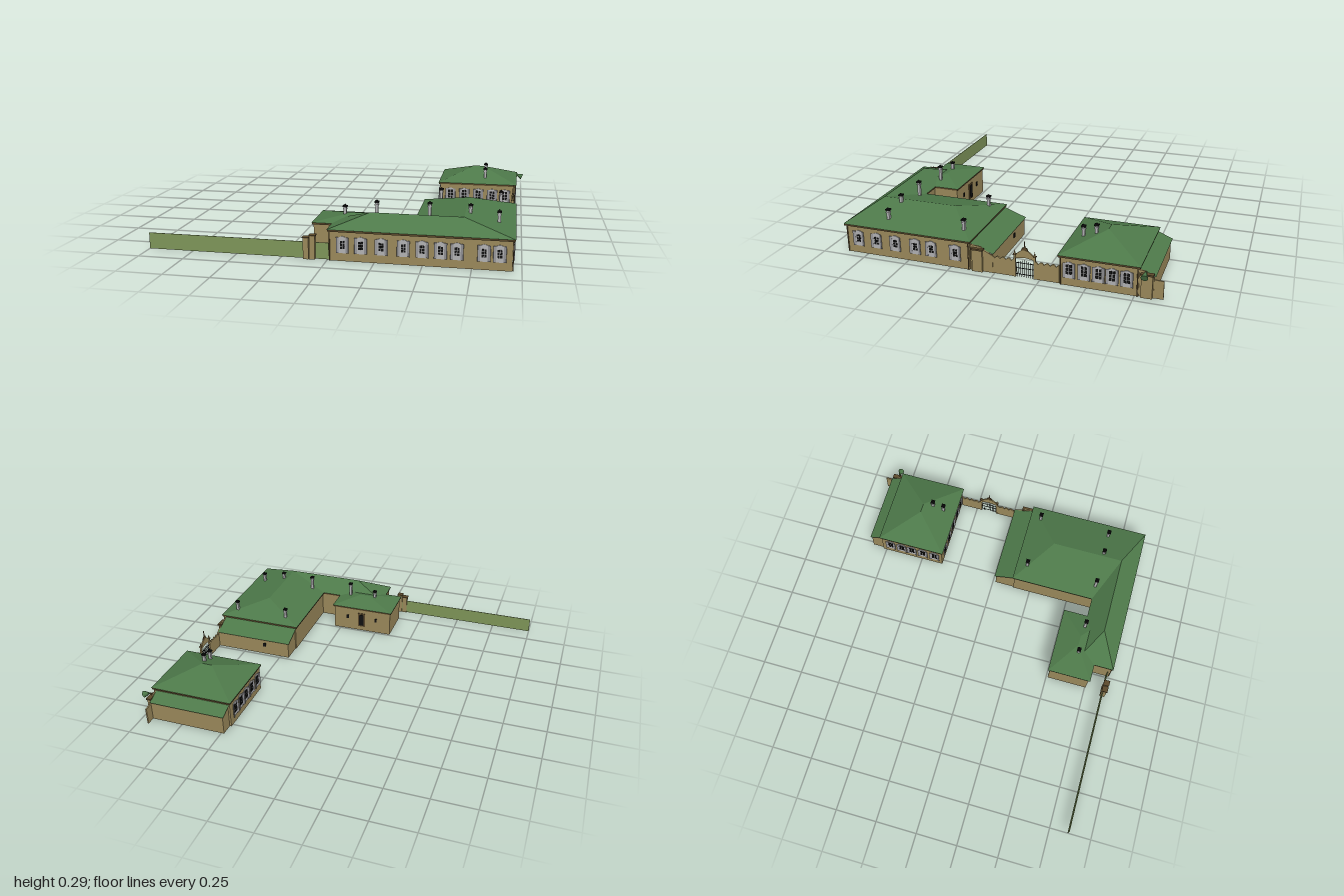
import * as THREE from 'three';

const mat = (name, color, double) => {
  const m = new THREE.MeshStandardMaterial({ color });
  m.name = name;
  if (double) m.side = THREE.DoubleSide;
  return m;
};

export function createModel() {
  const root = new THREE.Group();
  const roofGreen = mat('roofGreen', 0x4e7a4a, true);
  const stucco = mat('stucco', 0x9c8a5c, true);
  const trim = mat('darkTrim', 0x5c4a2c, true);
  const hedge = mat('fenceGreen', 0x80975a, true);
  const pale = mat('paleFrame', 0xb4b4b6);
  const shutterGrey = mat('shutterGrey', 0x97979b);
  const black = mat('blackIron', 0x111111, true);

  const add = (name, geo, material, parent = root) => {
    const m = new THREE.Mesh(geo, material);
    m.name = name;
    parent.add(m);
    return m;
  };
  const box = (name, x0, x1, y0, y1, z0, z1, material, parent) => {
    const g = new THREE.BoxGeometry(x1 - x0, y1 - y0, z1 - z0);
    g.translate((x0 + x1) / 2, (y0 + y1) / 2, (z0 + z1) / 2);
    return add(name, g, material, parent);
  };
  // Flat faces, each a list of [x, y, z] corners fanned into triangles
  const faces = (name, polys, material) => {
    const p = [];
    for (const f of polys)
      for (let i = 1; i < f.length - 1; i++) p.push(...f[0], ...f[i], ...f[i + 1]);
    const g = new THREE.BufferGeometry();
    g.setAttribute('position', new THREE.Float32BufferAttribute(p, 3));
    g.computeVertexNormals();
    return add(name, g, material);
  };
  // Open ring of walls over a footprint of [x, z] corners; tops may differ per corner
  const walls = (name, pts, y0, top, material = stucco) => faces(name, pts.map((a, i) => {
    const b = pts[(i + 1) % pts.length];
    return [[a[0], y0, a[1]], [b[0], y0, b[1]], [b[0], b[2] ?? top, b[1]], [a[0], a[2] ?? top, a[1]]];
  }), material);
  const rect = (x0, x1, z0, z1) => [[x0, z1], [x1, z1], [x1, z0], [x0, z0]];
  // Hip roof with a ridge along x
  const hipRoof = (name, x0, x1, z0, z1, y, r0, r1, zr, yr) => {
    const [a, b, c, d] = rect(x0, x1, z0, z1).map(([x, z]) => [x, y, z]);
    const r = [r0, yr, zr], s = [r1, yr, zr];
    faces(name, [[a, b, s, r], [b, c, s], [c, d, r, s], [d, a, r]], roofGreen);
  };
  // Outline in (z, y), extruded along x
  const slab = (name, pts, x, thick, material = stucco) => {
    const g = new THREE.ExtrudeGeometry(
      new THREE.Shape(pts.map(p => new THREE.Vector2(p[0], p[1]))), { depth: thick, bevelEnabled: false });
    g.rotateY(-Math.PI / 2).translate(x, 0, 0);
    return add(name, g, material);
  };

  // Main L-shaped house
  const E = 0.168, R = 0.242;
  const ell = [[0.01, 0.875], [0.952, 0.875], [0.952, 0.14], [0.437, 0.14], [0.437, 0.66], [0.01, 0.66]];
  walls('houseWalls', ell, 0, E);
  const out = [[0.003, 0.882], [0.962, 0.882], [0.962, 0.133], [0.428, 0.133], [0.428, 0.653], [0.003, 0.653]];
  walls('houseCornice', out, 0.157, E - 0.001, trim);
  const [A, B, C, D, F, G] = [[0, 0.885], [0.965, 0.885], [0.965, 0.13], [0.425, 0.13], [0.425, 0.65], [0, 0.65]]
    .map(([x, z]) => [x, E, z]);
  const r1 = [0.21, R, 0.77], r2 = [0.7, R, 0.77], r3 = [0.7, R, 0.33];
  faces('houseRoof', [[A, B, r2, r1], [B, C, r3, r2], [C, D, r3], [D, F, r2, r3], [F, G, r1, r2], [G, A, r1]], roofGreen);

  // West annex
  walls('annexWalls', rect(-0.1, 0.295, 0.51, 0.755), 0, E);
  walls('annexCornice', rect(-0.107, 0.302, 0.503, 0.762), 0.157, E - 0.001, trim);
  hipRoof('annexRoof', -0.11, 0.305, 0.5, 0.765, E, 0.09, 0.15, 0.64, 0.203);

  // Rear pavilion
  walls('pavilionWalls', rect(0.472, 0.952, -0.77, -0.36), 0, E);
  walls('pavilionCornice', rect(0.465, 0.962, -0.777, -0.353), 0.157, E - 0.001, trim);
  hipRoof('pavilionRoof', 0.462, 0.965, -0.78, -0.35, E, 0.68, 0.74, -0.56, 0.247);

  // Lean-tos behind the house and the pavilion
  const leanTo = (name, x0, x1, zHigh, zLow, yHigh, yLow) => {
    walls(name + 'Walls', [[x0 + 0.008, zLow + 0.008, yLow], [x1, zLow + 0.008, yLow],
      [x1, zHigh, yHigh], [x0 + 0.008, zHigh, yHigh]], 0, yHigh);
    faces(name + 'Roof', [[[x0, yHigh, zHigh], [x1, yHigh, zHigh], [x1, yLow, zLow], [x0, yLow, zLow]]], roofGreen);
  };
  leanTo('houseLeanTo', 0.435, 0.94, 0.14, 0.01, 0.152, 0.105);
  leanTo('pavilionLeanTo', 0.475, 0.94, -0.77, -0.852, 0.148, 0.115);

  // Shuttered windows, built facing +z and turned to their wall
  const windowAt = (x, z, angle, big = 1) => {
    const w = new THREE.Group();
    w.name = 'window';
    const s = new THREE.Shape();
    s.moveTo(-0.022, 0.044).lineTo(0.022, 0.044).lineTo(0.022, 0.125);
    s.quadraticCurveTo(0, 0.145, -0.022, 0.125);
    add('windowFrame', new THREE.ExtrudeGeometry(s, { depth: 0.004, bevelEnabled: false }), pale, w);
    for (const k of [-1, 1]) {
      const g = new THREE.BoxGeometry(0.014, 0.084, 0.004);
      g.rotateY(-k * 0.35).translate(k * 0.026, 0.088, 0.006);
      add('shutter', g, shutterGrey, w);
      for (let j = 0; j < 3; j++) {
        const px = k * 0.0068 * big, py = 0.074 + j * 0.015 * big;
        box('pane', px - 0.0054 * big, px + 0.0054 * big, py - 0.006 * big, py + 0.006 * big, 0.004, 0.006, black, w);
      }
    }
    w.position.set(x, 0, z);
    w.rotation.y = angle;
    root.add(w);
  };
  for (const x of [0.083, 0.18, 0.287, 0.402, 0.498, 0.592, 0.675, 0.81, 0.888]) windowAt(x, 0.875, 0);
  for (const z of [0.8, 0.69, 0.575, 0.455, 0.36, 0.22]) windowAt(0.952, z, Math.PI / 2);
  for (const z of [-0.41, -0.49, -0.565, -0.635, -0.71]) {
    windowAt(0.952, z, Math.PI / 2, 1.3);
    windowAt(0.472, z, -Math.PI / 2, 1.3);
  }
  for (const x of [0.54, 0.63, 0.72, 0.81, 0.89]) windowAt(x, -0.36, 0, 1.3);

  // Small openings in the rear walls
  for (const x of [0.0, 0.2]) box('annexVent', x - 0.008, x + 0.008, 0.08, 0.105, 0.506, 0.51, black);
  box('annexDoorFrame', 0.075, 0.125, 0.03, 0.13, 0.506, 0.51, trim);
  box('annexDoor', 0.085, 0.115, 0.04, 0.12, 0.502, 0.506, black);
  box('leanToVent', 0.6, 0.62, 0.055, 0.08, 0.014, 0.018, black);

  // Chimneys
  for (const [x, z, y0, y1] of [[0.05, 0.65, 0.17, 0.25], [0.225, 0.65, 0.17, 0.283], [0.51, 0.65, 0.17, 0.288],
    [0.725, 0.65, 0.2, 0.288], [0.875, 0.65, 0.17, 0.26], [0.53, 0.2, 0.17, 0.262], [0.875, 0.2, 0.17, 0.262],
    [0.76, -0.5, 0.19, 0.282], [0.76, -0.43, 0.17, 0.265]]) {
    box('chimneyStack', x - 0.008, x + 0.008, y0, y1 - 0.016, z - 0.008, z + 0.008, pale);
    box('chimneyCollar', x - 0.011, x + 0.011, y1 - 0.03, y1 - 0.024, z - 0.011, z + 0.011, pale);
    box('chimneyCap', x - 0.012, x + 0.012, y1 - 0.016, y1 - 0.008, z - 0.012, z + 0.012, black);
    const tip = add('chimneyTip', new THREE.ConeGeometry(0.009, 0.01, 4), black);
    tip.position.set(x, y1 - 0.003, z);
  }

  // Downpipes
  for (const [x, z] of [[0.955, 0.868], [0.955, 0.145], [0.955, -0.366], [0.955, -0.764], [0.014, 0.878]]) {
    const pipe = add('downpipe', new THREE.CylinderGeometry(0.003, 0.003, 0.16, 6), trim);
    pipe.position.set(x, 0.08, z);
  }

  // Scalloped courtyard walls beside the gate
  const scallop = (name, z0, z1) => {
    const pts = [[z0, 0], [z1, 0]], n = 24;
    for (let i = 0; i <= n; i++)
      pts.push([z1 + (z0 - z1) * i / n, 0.088 + 0.013 * Math.abs(Math.cos(i / n * Math.PI * 4))]);
    slab(name, pts, 0.945, 0.008);
  };
  scallop('courtyardWall', -0.11, 0.015);
  scallop('courtyardWall', -0.355, -0.225);
  slab('endWall', [[-0.895, 0], [-0.77, 0], [-0.77, 0.105], [-0.895, 0.1]], 0.945, 0.008);

  // Scrolled side walls with portal piers
  for (const [zp, h, k] of [[0.135, 0.148, 1], [-0.77, 0.148, 0.6]]) {
    slab('scrollWall', [[zp - 0.125 * k, 0], [zp, 0], [zp, h], [zp - 0.06 * k, h - 0.006],
      [zp - 0.075 * k, 0.125], [zp - 0.125 * k, 0.1]], 0.947, 0.008);
    box('portalPier', 0.94, 0.96, 0, 0.125, zp - 0.07, zp - 0.012, stucco);
    box('portalCap', 0.938, 0.966, 0.125, 0.134, zp - 0.075, zp - 0.008, trim);
  }

  // Green lamp bracket by the pavilion portal
  box('canopyArm', 0.95, 0.985, 0.138, 0.144, -0.802, -0.798, trim);
  const canopy = add('canopy', new THREE.ConeGeometry(0.02, 0.05, 8), roofGreen);
  canopy.rotation.z = Math.PI / 2 - 0.4;
  canopy.position.set(0.977, 0.142, -0.805);

  // Courtyard gate: posts, bars, arch and crest
  const gz = -0.168;
  for (const k of [-1, 1]) {
    box('gatePost', 0.936, 0.948, 0, 0.125, gz + k * 0.055 - 0.005, gz + k * 0.055 + 0.005, stucco);
    box('gatePostCap', 0.934, 0.95, 0.125, 0.131, gz + k * 0.055 - 0.008, gz + k * 0.055 + 0.008, trim);
    const finial = add('postFinial', new THREE.ConeGeometry(0.006, 0.025, 6), stucco);
    finial.position.set(0.942, 0.143, gz + k * 0.055);
  }
  for (let i = -4; i <= 4; i++) {
    const z = gz + i * 0.011;
    box('gateBar', 0.941, 0.943, 0, 0.1 - Math.abs(i) * 0.004, z - 0.001, z + 0.001, black);
  }
  for (const y of [0.015, 0.05, 0.08]) box('gateRail', 0.941, 0.944, y, y + 0.003, gz - 0.05, gz + 0.05, black);
  const arch = [];
  for (let i = 0; i <= 16; i++) arch.push([gz + 0.055 - 0.11 * i / 16, 0.123 + 0.035 * Math.sin(i / 16 * Math.PI)]);
  for (let i = 16; i >= 0; i--) arch.push([gz + 0.055 - 0.11 * i / 16, 0.105 + 0.01 * Math.sin(i / 16 * Math.PI)]);
  slab('gateArch', arch, 0.946, 0.008);
  slab('gateCrest', [[gz - 0.022, 0.15], [gz + 0.022, 0.15], [gz + 0.012, 0.172], [gz + 0.004, 0.172],
    [gz, 0.212], [gz - 0.004, 0.172], [gz - 0.012, 0.172]], 0.945, 0.005, trim);

  // Long green fence and its gate piers
  box('greenFence', -1, 0.012, 0, 0.09, 0.859, 0.862, hedge);
  box('fencePier', -0.128, -0.098, 0, 0.115, 0.852, 0.882, stucco);
  box('fencePier', -0.094, -0.064, 0, 0.128, 0.852, 0.882, stucco);
  box('pierCap', -0.133, -0.096, 0.115, 0.12, 0.849, 0.885, trim);
  box('pierCap', -0.096, -0.06, 0.128, 0.133, 0.849, 0.885, trim);
  return root;
}
